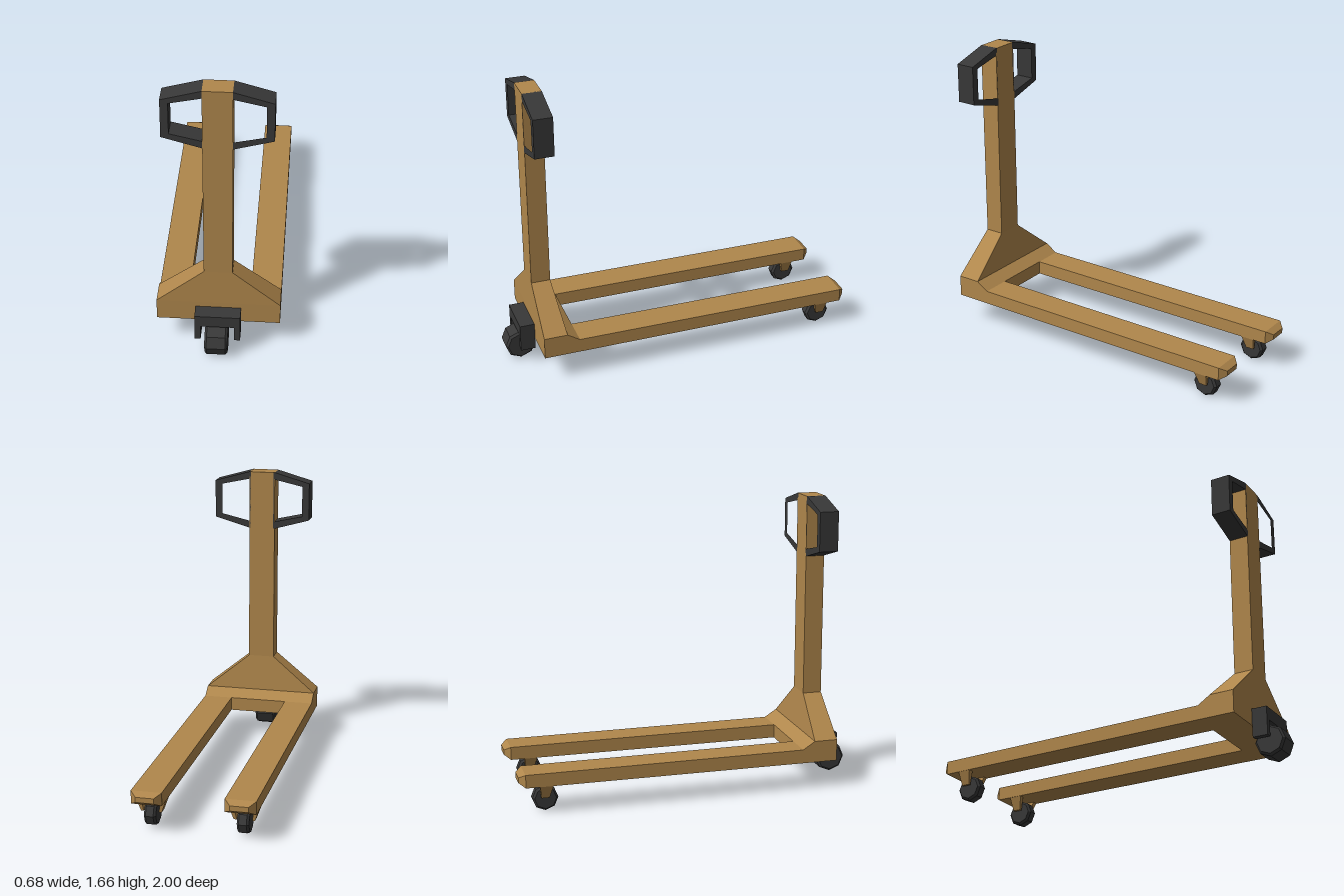
import * as THREE from 'three';

const paint = new THREE.MeshStandardMaterial({ color: 0xb0874c, flatShading: true });
const dark = new THREE.MeshStandardMaterial({ color: 0x383838, flatShading: true });

// Solid skinned over four-cornered rings, each counter-clockwise seen from the end ring
function loft(rings) {
  const n = rings[0].length, index = [];
  for (let r = 0; r < rings.length - 1; r++) {
    for (let i = 0; i < n; i++) {
      const a = r * n + i, b = r * n + (i + 1) % n;
      index.push(a, b, b + n, a, b + n, a + n);
    }
  }
  const e = (rings.length - 1) * n;
  index.push(0, 2, 1, 0, 3, 2, e, e + 1, e + 2, e, e + 2, e + 3);
  const geo = new THREE.BufferGeometry();
  geo.setAttribute('position', new THREE.Float32BufferAttribute(rings.flat(2), 3));
  geo.setIndex(index);
  const flat = geo.toNonIndexed();
  flat.computeVertexNormals();
  return flat;
}

// Rectangular rings: level (for lofts going up) and upright (for lofts going back)
const level = (y, x0, x1, z0, z1) => [[x0, y, z1], [x1, y, z1], [x1, y, z0], [x0, y, z0]];
const upright = (z, x0, x1, y0, y1) => [[x1, y0, z], [x0, y0, z], [x0, y1, z], [x1, y1, z]];

function extrude(points, depth, hole) {
  const shape = new THREE.Shape(points.map(p => new THREE.Vector2(...p)));
  if (hole) shape.holes.push(new THREE.Path(hole.map(p => new THREE.Vector2(...p))));
  return new THREE.ExtrudeGeometry(shape, { depth, bevelEnabled: false });
}

// Eight-sided roller with chamfered rims, axle along x
function roller(radius, half) {
  const c = 0.012;
  const profile = [[0, -half], [radius - c, -half], [radius, -half + c],
    [radius, half - c], [radius - c, half], [0, half]];
  return new THREE.LatheGeometry(profile.map(p => new THREE.Vector2(...p)), 8).rotateZ(Math.PI / 2);
}

export function createModel() {
  const group = new THREE.Group();
  const add = (name, geo, mat, x = 0, y = 0, z = 0) => {
    const mesh = new THREE.Mesh(geo, mat);
    mesh.name = name;
    mesh.position.set(x, y, z);
    group.add(mesh);
    return mesh;
  };

  // Cross body with a sloped step down to the forks (profile drawn in -z, y)
  const body = extrude([[-0.845, 0.16], [-0.64, 0.16], [-0.64, 0.24], [-0.71, 0.285], [-0.845, 0.285]], 0.68);
  body.translate(0, 0, -0.34).rotateY(Math.PI / 2);
  add('body', body, paint);

  // Flared shoulder running up into the mast
  add('mast', loft([
    level(0.285, -0.34, 0.34, 0.71, 0.845),
    level(0.5, -0.078, 0.078, 0.73, 0.84),
    level(1.66, -0.078, 0.078, 0.73, 0.84),
  ]), paint);

  for (const side of [-1, 1]) {
    const label = side > 0 ? 'left' : 'right';
    // Turns an inner-to-outer span into ascending x on this side
    const span = (a, b) => side > 0 ? [a, b] : [-b, -a];

    // Fork with tapered tip
    add(label + 'Fork', loft([
      upright(0.64, ...span(0.17, 0.34), 0.16, 0.24),
      upright(-0.965, ...span(0.17, 0.34), 0.16, 0.235),
      upright(-1, ...span(0.205, 0.305), 0.183, 0.212),
    ]), paint);

    // Splayed brackets on both sides of the load roller
    for (const [name, low, high] of [
      ['Inner', [0.197, 0.214], [0.17, 0.197]],
      ['Outer', [0.298, 0.312], [0.308, 0.34]],
    ]) {
      add(label + name + 'RollerBracket', loft([
        level(0.085, ...span(...low), -0.875, -0.83),
        level(0.165, ...span(...high), -0.886, -0.81),
      ]), paint);
    }
    add(label + 'LoadRoller', roller(0.073, 0.033), dark, side * 0.254, 0.074, -0.848);

    // Looped grip
    const grip = extrude(
      [[0.07, 1.66], [0.078, 1.66], [0.29, 1.6], [0.29, 1.375], [0.078, 1.315], [0.07, 1.315]]
        .map(([x, y]) => [x * side, y]), 0.11,
      [[0.074, 1.618], [0.248, 1.58], [0.248, 1.397], [0.074, 1.357]].map(([x, y]) => [x * side, y]));
    add(label + 'Grip', grip, dark, 0, 0, 0.73);
  }

  // Steering yoke and wheel
  add('steeringYoke', extrude([[-0.125, 0.095], [-0.092, 0.095], [-0.092, 0.185], [0.092, 0.185],
    [0.092, 0.095], [0.125, 0.095], [0.125, 0.255], [-0.125, 0.255]], 0.085), dark, 0, 0, 0.845);
  add('steeringWheel', roller(0.087, 0.063), dark, -0.005, 0.087, 0.913);

  return group;
}
